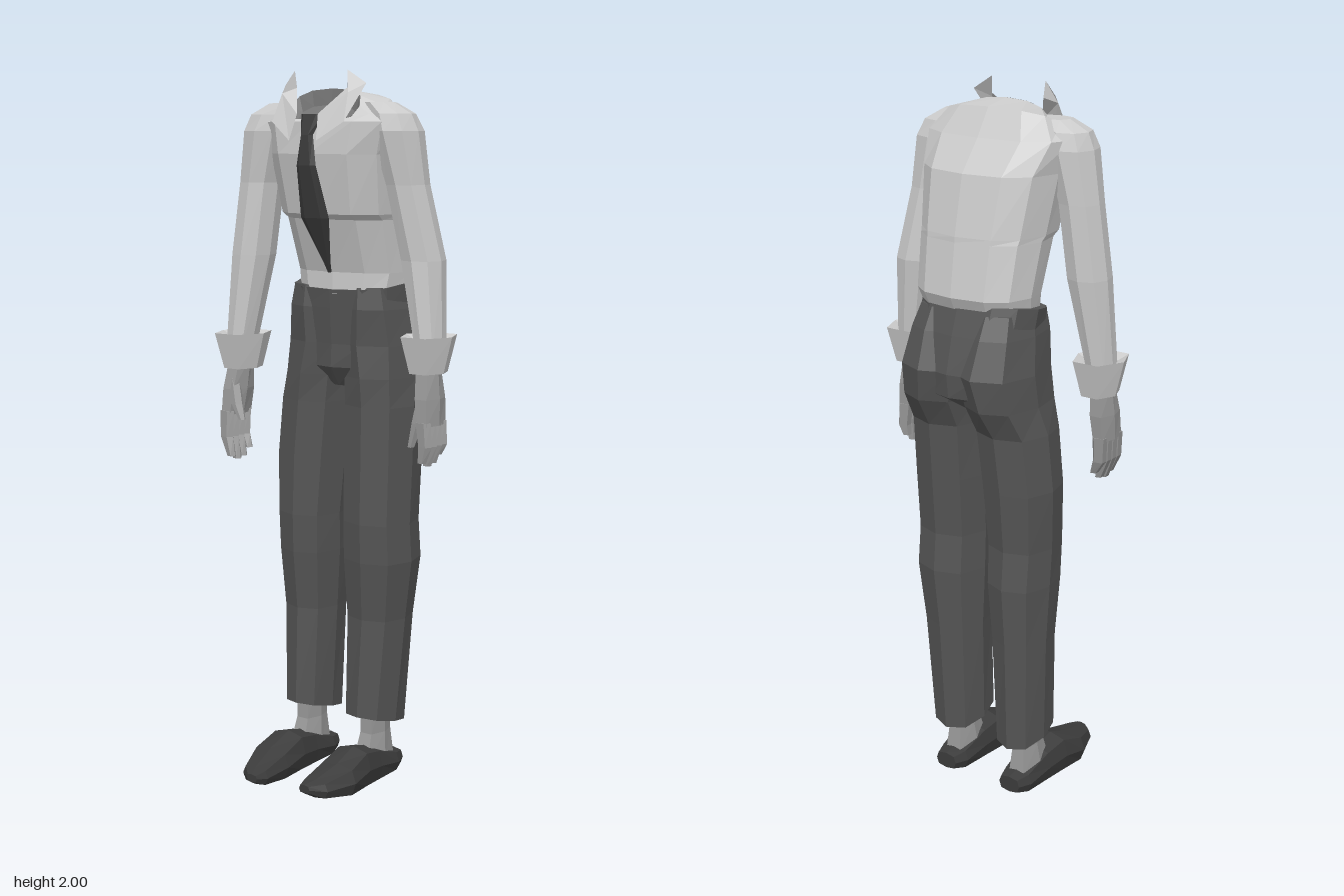
import * as THREE from 'three';

const SHIRT = 0xcccccc, TROUSERS = 0x555555, SKIN = 0x999999, DARK = 0x3c3c3c;

const material = (color) => new THREE.MeshStandardMaterial({ color, flatShading: true, side: THREE.DoubleSide });

// Loft through rings [x, y, z, radiusX, radiusZ, frontRise], bottom to top; p < 1 squares the section
function loft(rings, { n = 8, p = 0.8, bottom = true, top = true } = {}) {
  const pos = [], idx = [];
  const soft = (v) => Math.sign(v) * Math.pow(Math.abs(v), p);
  for (const [x, y, z, rx, rz, rise = 0] of rings) {
    for (let j = 0; j < n; j++) {
      const t = (j / n) * Math.PI * 2, s = soft(Math.sin(t));
      pos.push(x + rx * soft(Math.cos(t)), y + rise * s, z + rz * s);
    }
  }
  for (let i = 0; i < rings.length - 1; i++) {
    for (let j = 0; j < n; j++) {
      const a = i * n + j, b = i * n + (j + 1) % n;
      idx.push(a, a + n, b, b, a + n, b + n);
    }
  }
  const last = (rings.length - 1) * n;
  for (let j = 1; j < n - 1; j++) {
    if (bottom) idx.push(0, j, j + 1);
    if (top) idx.push(last, last + j + 1, last + j);
  }
  return finish(pos, idx);
}

// Folded fan around its first corner
function sheet(points) {
  const idx = [];
  for (let j = 1; j < points.length - 1; j++) idx.push(0, j, j + 1);
  return finish(points.flat(), idx);
}

function finish(pos, idx) {
  const g = new THREE.BufferGeometry();
  g.setAttribute('position', new THREE.Float32BufferAttribute(pos, 3));
  g.setIndex(idx);
  g.computeVertexNormals();
  return g;
}

export function createModel() {
  const model = new THREE.Group();
  const add = (name, geometry, color, parent = model) => {
    const mesh = new THREE.Mesh(geometry, material(color));
    mesh.name = name;
    parent.add(mesh);
  };

  // Stooped shirt body
  add('shirt', loft([
    [0, 1.40, -0.07, 0.16, 0.11],
    [0, 1.46, -0.085, 0.172, 0.125],
    [0, 1.605, -0.05, 0.18, 0.14],
    [0, 1.62, -0.036, 0.183, 0.153],
    [0, 1.78, -0.004, 0.2, 0.152],
    [0, 1.865, 0.025, 0.225, 0.115],
    [0, 1.905, 0.04, 0.175, 0.083, -0.035],
    [0.01, 1.905, 0.086, 0.115, 0.036, -0.048],
  ], { n: 12, top: false }), SHIRT);
  add('neckOpening', loft([
    [0.01, 1.865, 0.084, 0.10, 0.028, -0.045],
    [0.01, 1.905, 0.086, 0.113, 0.034, -0.048],
  ], { n: 12, top: false }), 0x777777);

  // Collar flaps, folded along the neck
  for (const s of [-1, 1]) {
    add(s > 0 ? 'leftCollar' : 'rightCollar', sheet([
      [s * 0.11, 1.94, 0.118], [s * 0.035, 1.885, 0.15], [s * 0.085, 1.955, 0.085], [s * 0.088, 2.0, 0.09],
      [s * 0.135, 1.965, 0.07], [s * 0.12, 1.865, 0.15], [s * 0.045, 1.815, 0.172], [s * 0.035, 1.885, 0.15],
    ]), SHIRT);
  }

  // Tie: knot and blade
  add('tie', loft([
    [0, 1.46, 0.052, 0.004, 0.006],
    [0, 1.61, 0.118, 0.047, 0.012],
    [0, 1.75, 0.156, 0.032, 0.01],
    [0, 1.83, 0.152, 0.02, 0.012],
    [0.004, 1.885, 0.132, 0.038, 0.015],
  ], { n: 6 }), DARK);

  // Waist of the trousers, filling between the legs
  add('trouserWaist', loft([
    [-0.015, 1.14, -0.08, 0.04, 0.07],
    [-0.014, 1.195, -0.105, 0.11, 0.135],
    [-0.012, 1.26, -0.108, 0.16, 0.137],
    [-0.01, 1.36, -0.09, 0.175, 0.128],
    [-0.01, 1.43, -0.073, 0.178, 0.115, -0.018],
  ], { n: 12 }), TROUSERS);

  // Trouser legs, hem to hip as [x, halfWidth]: the right stands a little wider than the left
  const legs = {
    left: [[0.07, 0.072], [0.08, 0.086], [0.09, 0.1], [0.09, 0.098], [0.09, 0.1], [0.09, 0.1],
      [0.088, 0.1], [0.075, 0.11], [0.082, 0.088], [0.08, 0.075]],
    right: [[-0.15, 0.066], [-0.15, 0.077], [-0.147, 0.087], [-0.146, 0.09], [-0.143, 0.1], [-0.13, 0.1],
      [-0.118, 0.095], [-0.1, 0.107], [-0.102, 0.088], [-0.1, 0.075]],
  };
  const legShape = [[0.175, -0.07, 0.09, 0.02], [0.48, -0.08, 0.091], [0.65, -0.075, 0.107], [0.76, -0.068, 0.104],
    [0.93, -0.076, 0.108], [1.09, -0.083, 0.112], [1.17, -0.104, 0.138], [1.26, -0.113, 0.145],
    [1.36, -0.09, 0.129], [1.42, -0.078, 0.11]];
  for (const side of ['left', 'right']) {
    const rings = legShape.map(([y, z, rz, rise], i) => [legs[side][i][0], y, z, legs[side][i][1], rz, rise]);
    add(side + 'TrouserLeg', loft(rings, { bottom: false }), TROUSERS);
  }

  // Ankles and shoes; shoe rings run heel to toe as [length, halfWidth, base, top, inward shift]
  const shoeShape = [[-0.15, 0.035, 0.015, 0.062, 0], [-0.11, 0.05, 0.004, 0.07, 0], [-0.02, 0.055, 0, 0.105, 0],
    [0.05, 0.062, 0, 0.12, 0], [0.13, 0.066, 0, 0.09, 0], [0.215, 0.045, 0.012, 0.063, 0.016], [0.247, 0.018, 0.03, 0.054, 0.03]];
  for (const [side, s, x, stretch] of [['left', 1, 0.078, 0.955], ['right', -1, -0.152, 1.045]]) {
    add(side + 'Ankle', loft([
      [x, 0.05, -0.05, 0.044, 0.075], [x, 0.14, -0.06, 0.034, 0.052], [x, 0.28, -0.06, 0.036, 0.05],
    ], { n: 6 }), SKIN);
    const shoe = loft(shoeShape.map(([z, w, base, top, shift]) =>
      [x - s * shift, z > 0 ? z * stretch : z, -(base + top) / 2, w, (top - base) / 2]), { p: 0.65 });
    shoe.rotateX(Math.PI / 2);
    add(side + 'Shoe', shoe, DARK);
  }

  // Sleeves rounding into the shoulders, with turned-up cuffs
  add('leftSleeve', loft([
    [0.295, 1.25, -0.008, 0.036, 0.045], [0.262, 1.5, -0.018, 0.056, 0.06], [0.228, 1.7, 0.008, 0.053, 0.06],
    [0.205, 1.84, 0.025, 0.066, 0.07], [0.19, 1.885, 0.03, 0.062, 0.058], [0.15, 1.915, 0.035, 0.05, 0.04],
  ]), SHIRT);
  add('rightSleeve', loft([
    [-0.288, 1.24, 0.085, 0.036, 0.045], [-0.258, 1.5, 0.062, 0.056, 0.06], [-0.235, 1.7, 0.052, 0.056, 0.06],
    [-0.205, 1.84, 0.052, 0.066, 0.07], [-0.19, 1.885, 0.05, 0.064, 0.058], [-0.15, 1.915, 0.045, 0.05, 0.04],
  ]), SHIRT);
  const cuff = (name, x, y, z) => add(name, loft([
    [x, y, z, 0.048, 0.062], [x, y + 0.1, z, 0.074, 0.088], [x, y + 0.085, z, 0.045, 0.05],
  ], { n: 6, p: 0.9, top: false }), SHIRT);
  cuff('leftCuff', 0.286, 1.2, -0.01);
  cuff('rightCuff', -0.286, 1.18, 0.08);

  // Hands: palm, four closed fingers and a thumb between given joints
  const hand = (name, wrist, knuckle, tip, thumb) => {
    const group = new THREE.Group();
    group.name = name;
    model.add(group);
    const mid = wrist.map((v, i) => v * 0.45 + knuckle[i] * 0.55);
    add('palm', loft([
      [...knuckle, 0.026, 0.053], [...mid, 0.032, 0.052], [...wrist, 0.032, 0.036],
    ], { n: 6 }), SKIN, group);
    for (let i = 0; i < 4; i++) {
      const dz = (i - 1.5) * 0.025, lift = [0.025, 0.005, 0, 0.01][i];
      const bend = knuckle.map((v, k) => (v + tip[k]) / 2);
      add('finger', loft([
        [tip[0], tip[1] + lift, tip[2] + dz, 0.012, 0.012],
        [bend[0] + Math.sign(tip[0]) * 0.008, bend[1], bend[2] + dz, 0.02, 0.015],
        [knuckle[0], knuckle[1] + 0.01, knuckle[2] + dz, 0.023, 0.015],
      ], { n: 5 }), SKIN, group);
    }
    add('thumb', loft([
      [...thumb, 0.009, 0.01],
      [(thumb[0] + mid[0]) / 2, (thumb[1] + mid[1]) / 2, (thumb[2] + mid[2]) / 2 + 0.012, 0.016, 0.018],
      [mid[0], mid[1] + 0.035, mid[2] + 0.02, 0.016, 0.018],
    ], { n: 5 }), SKIN, group);
  };
  hand('leftHand', [0.286, 1.22, -0.008], [0.302, 1.06, -0.002], [0.3, 0.95, 0], [0.262, 1.0, 0.035]);
  hand('rightHand', [-0.288, 1.21, 0.085], [-0.298, 1.05, 0.1], [-0.272, 0.925, 0.115], [-0.222, 1.045, 0.165]);

  return model;
}
